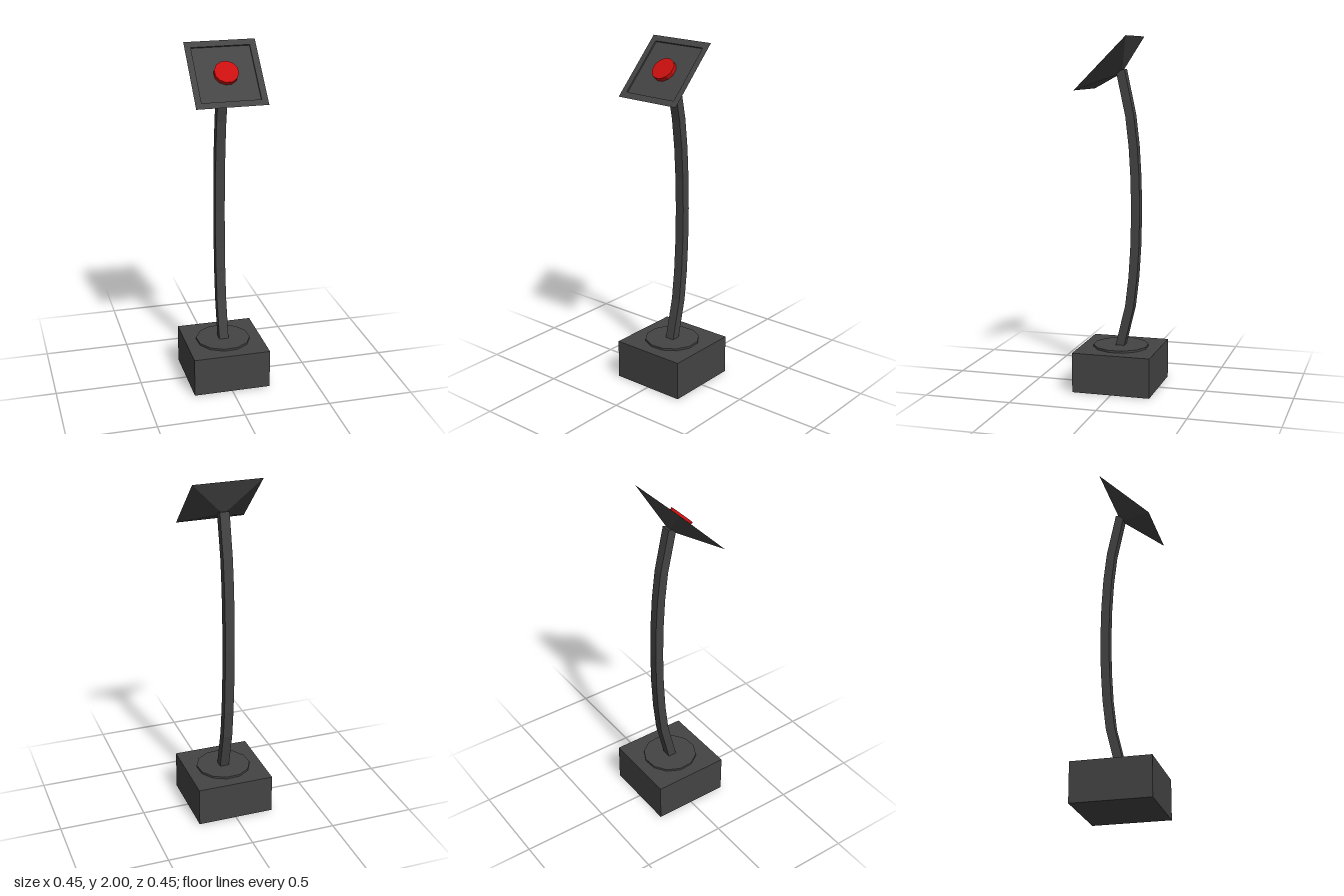
import * as THREE from 'three';

const dark = new THREE.MeshStandardMaterial({ color: 0x444444, flatShading: true });
const red = new THREE.MeshStandardMaterial({ color: 0xcc0f0f, flatShading: true });

function addPart(parent, name, geometry, material, y = 0) {
  const mesh = new THREE.Mesh(geometry, material);
  mesh.name = name;
  mesh.position.y = y;
  parent.add(mesh);
  return mesh;
}

// Square bar bent along a path of [y, z] points
function bentPole(path, width, depth) {
  const n = path.length - 1;
  const geo = new THREE.BoxGeometry(width, 1, depth, 1, n, 1);
  const pos = geo.attributes.position;
  for (let i = 0; i < pos.count; i++) {
    const k = Math.round((pos.getY(i) + 0.5) * n);
    const [y, z] = path[k];
    const a = path[Math.max(k - 1, 0)], b = path[Math.min(k + 1, n)];
    const slope = Math.atan2(b[1] - a[1], b[0] - a[0]);
    const off = pos.getZ(i);
    pos.setXYZ(i, pos.getX(i), y - off * Math.sin(slope), z + off * Math.cos(slope));
  }
  geo.computeVertexNormals();
  return geo;
}

// Shallow pyramid with a recessed rectangular face; local +y is the face normal
function panelGeometry(halfWidth, halfLength) {
  const r = Math.SQRT2;
  const profile = [[0, -0.09], [r, 0], [0.825 * r, 0], [0.825 * r, -0.0085], [0, -0.0085]]
    .map(([x, y]) => new THREE.Vector2(x, y));
  const geo = new THREE.LatheGeometry(profile, 4, Math.PI / 4);
  geo.scale(halfWidth, 1, halfLength);
  const pos = geo.attributes.position;
  for (let i = 0; i < pos.count; i++) {
    if (pos.getY(i) < -0.05) pos.setZ(i, -0.01); // rear tip sits slightly high
  }
  const flat = geo.toNonIndexed();
  flat.computeVertexNormals();
  return flat;
}

export function createModel() {
  const model = new THREE.Group();
  model.name = 'buttonStand';

  // Base block and mounting disc
  addPart(model, 'base', new THREE.BoxGeometry(0.45, 0.228, 0.45), dark, 0.114);
  const disc = addPart(model, 'mountingDisc', new THREE.CylinderGeometry(0.159, 0.159, 0.03, 12), dark, 0.225);
  disc.rotation.y = -0.2;

  // Curved pole, bowed to the rear
  const path = [
    [0.23, 0.002], [0.47, -0.056], [0.64, -0.076], [0.82, -0.087], [1.02, -0.091],
    [1.21, -0.087], [1.39, -0.076], [1.56, -0.056], [1.812, -0.002],
  ];
  addPart(model, 'pole', bentPole(path, 0.055, 0.05), dark);

  // Tilted head with its button
  const head = new THREE.Group();
  head.name = 'head';
  head.position.set(0, 1.852, 0.067);
  head.rotation.x = Math.PI / 4;
  model.add(head);
  addPart(head, 'panel', panelGeometry(0.2, 0.21), dark);
  const button = addPart(head, 'button', new THREE.CylinderGeometry(0.068, 0.068, 0.026, 12), red, 0.004);
  button.rotation.y = -0.2;

  return model;
}
